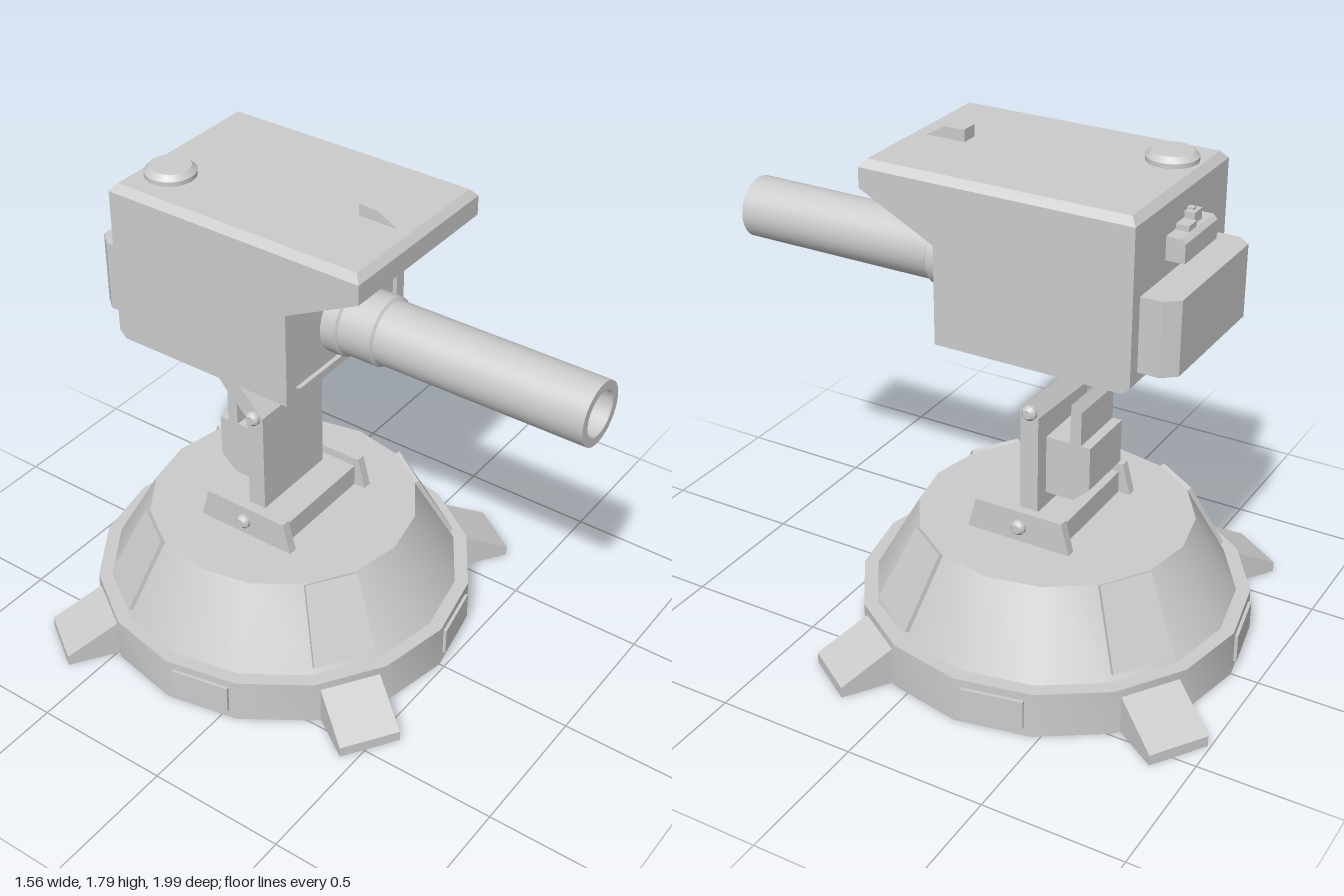
import * as THREE from 'three';
import { toCreasedNormals } from 'three/addons/utils/BufferGeometryUtils.js';

const grey = new THREE.MeshStandardMaterial({ color: 0xcccccc });
const V = (pts) => pts.map(([x, y]) => new THREE.Vector2(x, y));

function add(parent, name, geometry, x = 0, y = 0, z = 0) {
  const mesh = new THREE.Mesh(geometry, grey);
  mesh.name = name;
  mesh.position.set(x, y, z);
  parent.add(mesh);
  return mesh;
}

const box = (w, h, d) => new THREE.BoxGeometry(w, h, d);

// flat outline [x, y] extruded along z from 0
const slab = (pts, depth) =>
  new THREE.ExtrudeGeometry(new THREE.Shape(V(pts)), { depth, bevelEnabled: false });

// side outline [z, y] extruded across x, centred
const sideSlab = (pts, width) => slab(pts, width).translate(0, 0, -width / 2).rotateY(-Math.PI / 2);

// revolved outline [radius, height] with crisp profile edges
const turned = (pts, sides) => toCreasedNormals(new THREE.LatheGeometry(V(pts), sides), 0.45);

// box whose top is inset on all sides
function tapered(w, h, d, inset) {
  const g = box(w, h, d);
  const p = g.attributes.position;
  for (let i = 0; i < p.count; i++) {
    if (p.getY(i) < 0) continue;
    p.setX(i, p.getX(i) - Math.sign(p.getX(i)) * inset);
    p.setZ(i, p.getZ(i) - Math.sign(p.getZ(i)) * inset);
  }
  g.computeVertexNormals();
  return g;
}

function roundedRect(path, w, h, r, cy) {
  const x = w / 2, y0 = cy - h / 2, y1 = cy + h / 2;
  path.moveTo(-x + r, y0).lineTo(x - r, y0).quadraticCurveTo(x, y0, x, y0 + r);
  path.lineTo(x, y1 - r).quadraticCurveTo(x, y1, x - r, y1);
  path.lineTo(-x + r, y1).quadraticCurveTo(-x, y1, -x, y1 - r);
  path.lineTo(-x, y0 + r).quadraticCurveTo(-x, y0, -x + r, y0);
  return path;
}

function createBase() {
  const base = new THREE.Group();
  base.name = 'base';
  base.position.z = -0.21;

  // hollow shell: rim ring, sloping dome and flat top
  add(base, 'baseShell', turned([
    [0.69, 0], [0.69, 0.17], [0.64, 0.17], [0.485, 0.45], [0, 0.45],
    [0, 0.425], [0.465, 0.425], [0.61, 0.15], [0.65, 0.15], [0.65, 0], [0.69, 0],
  ], 16));

  const foot = sideSlab([[0.66, 0], [0.865, 0], [0.865, 0.04], [0.677, 0.14], [0.66, 0.14]], 0.22);
  const plate = slab([[-0.115, 0], [0.115, 0], [0.095, 0.292], [-0.095, 0.292]], 0.02);
  for (let i = 0; i < 4; i++) {
    // foot with the dome plate above it
    const leg = new THREE.Group();
    leg.name = 'footSector';
    leg.rotation.y = THREE.MathUtils.degToRad(-33.75 + 90 * i);
    base.add(leg);
    add(leg, 'foot', foot);
    add(leg, 'domePlate', plate, 0, 0.19, 0.612).rotation.x = -0.495;

    // rim plate midway between feet
    const rim = new THREE.Group();
    rim.name = 'rimSector';
    rim.rotation.y = THREE.MathUtils.degToRad(11.25 + 90 * i);
    base.add(rim);
    add(rim, 'rimPlate', box(0.215, 0.105, 0.024), 0, 0.088, 0.676);
  }
  return base;
}

function createArm() {
  const arm = new THREE.Group();
  arm.name = 'arm';

  // mounting bracket
  add(arm, 'bracketBlock', box(0.43, 0.085, 0.3), 0, 0.49, -0.195);
  const cheek = sideSlab([[0, 0.45], [-0.03, 0.565], [-0.36, 0.565], [-0.39, 0.45]], 0.034);
  const bolt = turned([[0.027, 0], [0.027, 0.014], [0.016, 0.025], [0, 0.025]], 12);
  for (const s of [-1, 1]) {
    add(arm, 'bracketCheek', cheek, s * 0.227, 0, 0);
    add(arm, 'bracketBolt', bolt, s * 0.242, 0.507, -0.2).rotation.z = -s * Math.PI / 2;
    add(arm, 'kneeBolt', bolt, s * 0.171, 0.912, -0.2).rotation.z = -s * Math.PI / 2;
  }

  // wide front strut bent at the knee
  add(arm, 'frontStrut', sideSlab([
    [-0.162, 0.5], [-0.162, 0.92], [-0.41, 1.17], [-0.49, 1.17], [-0.23, 0.895], [-0.23, 0.5],
  ], 0.344));

  // narrow rear strut and the block it rises from
  add(arm, 'rearStrut', sideSlab([
    [-0.318, 0.79], [-0.322, 0.945], [-0.482, 1.105], [-0.482, 1.17],
    [-0.515, 1.17], [-0.515, 1.105], [-0.36, 0.925], [-0.36, 0.79],
  ], 0.23));
  add(arm, 'rearBlock', sideSlab([
    [-0.22, 0.585], [-0.22, 0.8], [-0.395, 0.8], [-0.395, 0.64], [-0.335, 0.585],
  ], 0.23));
  return arm;
}

function createHead() {
  const head = new THREE.Group();
  head.name = 'head';

  // housing with overhanging visor, and a bevelled lid
  add(head, 'housing', sideSlab([
    [0.05, 1.165], [0.05, 1.51], [0.065, 1.51], [0.34, 1.65], [0.34, 1.72],
    [-0.635, 1.72], [-0.635, 1.19], [-0.61, 1.165],
  ], 0.666));
  add(head, 'lid', tapered(0.666, 0.026, 0.975, 0.022), 0, 1.733, -0.1475);

  // raised frame around the recessed front panel
  const frame = new THREE.Shape(V([[-0.333, 1.165], [0.333, 1.165], [0.333, 1.51], [-0.333, 1.51]]));
  frame.holes.push(roundedRect(new THREE.Path(), 0.58, 0.295, 0.045, 1.342));
  add(head, 'frontFrame', new THREE.ExtrudeGeometry(frame, { depth: 0.016, bevelEnabled: false, curveSegments: 6 }), 0, 0, 0.05);

  // hollow stepped barrel
  add(head, 'barrel', turned([
    [0.13, 0.04], [0.13, 0.105], [0.12, 0.112], [0.12, 0.235], [0.11, 0.242],
    [0.11, 1], [0.079, 1], [0.079, 0.3], [0, 0.3],
  ], 32).rotateX(Math.PI / 2), 0, 1.338, 0);

  // top knob and sight
  add(head, 'topKnob', turned([[0.087, 0], [0.087, 0.018], [0.07, 0.036], [0, 0.036]], 24), -0.165, 1.744, -0.515);
  add(head, 'sight', sideSlab([[0.285, 1.74], [0.2, 1.785], [0.13, 1.788], [0.13, 1.74]], 0.062));

  // rear pack with chamfered corners
  const pack = slab([[-0.285, 0.62], [-0.285, 0.71], [-0.245, 0.757], [0.245, 0.757], [0.285, 0.71], [0.285, 0.62]], 0.255);
  add(head, 'rearPack', pack.rotateX(-Math.PI / 2), 0, 1.225, 0);

  // rear latch with small fittings
  add(head, 'latch', sideSlab([
    [-0.62, 1.535], [-0.62, 1.615], [-0.685, 1.615], [-0.7, 1.6], [-0.7, 1.535],
  ], 0.235));
  add(head, 'latchClip', box(0.055, 0.045, 0.04), -0.035, 1.63, -0.65);
  add(head, 'latchTab', box(0.055, 0.025, 0.045), 0.03, 1.622, -0.66);
  add(head, 'latchPin', box(0.02, 0.03, 0.025), -0.035, 1.645, -0.645);
  return head;
}

export function createModel() {
  const model = new THREE.Group();
  model.name = 'turret';
  model.add(createBase(), createArm(), createHead());
  return model;
}
